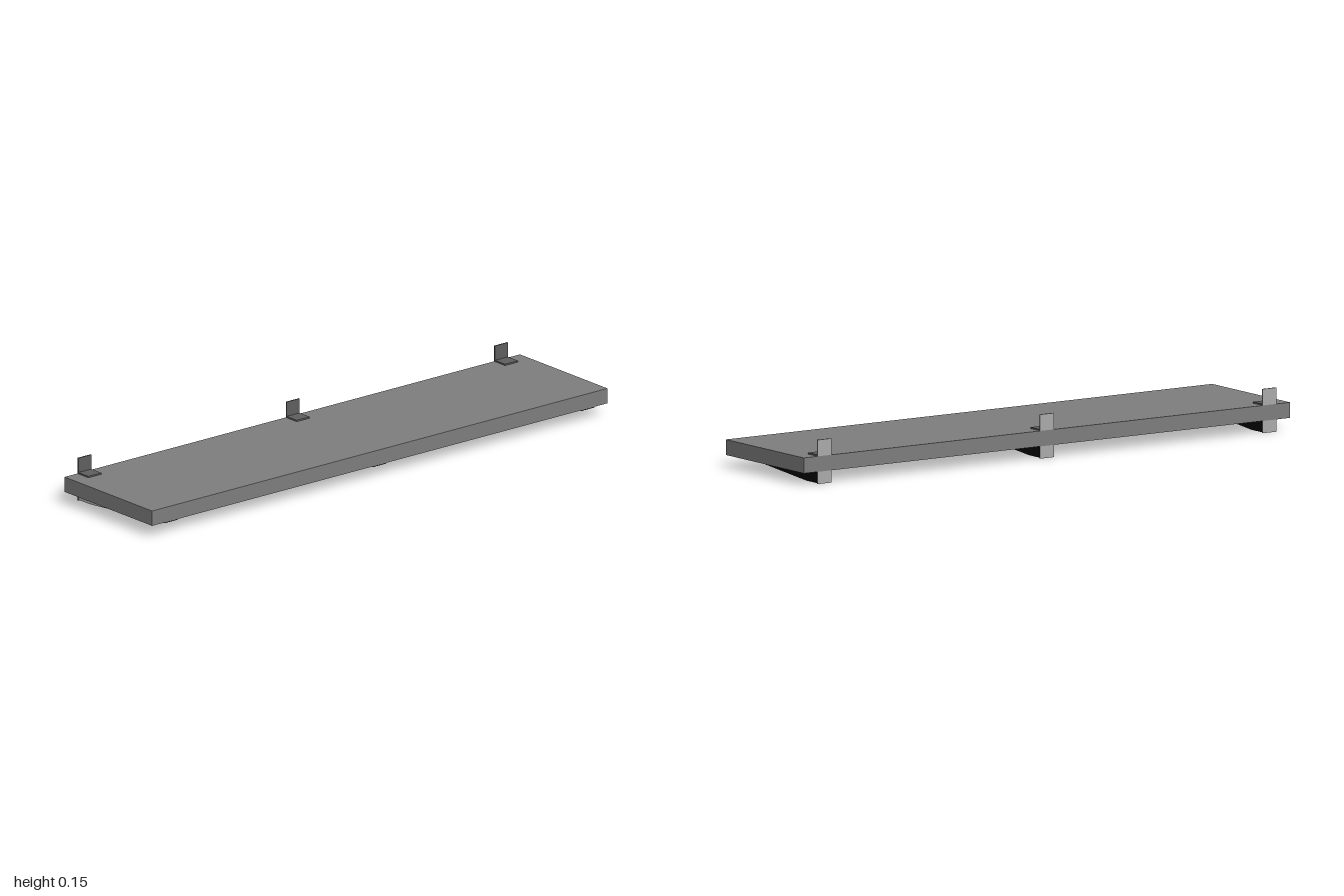
import * as THREE from 'three';

const paint = (color) => new THREE.MeshStandardMaterial({ color, flatShading: true });
const boardGrey = paint(0x7d7d7d);
const steel = paint(0x5e5e5e);
const black = paint(0x040404);
const brightSteel = paint(0xaaaaaa);

// Plate materials with a bright face toward the wall (-x)
const wallSide = (base) => [base, brightSteel, base, base, base, base];

// Box given by its x, y and z limits
function box(name, material, x0, x1, y0, y1, z0, z1) {
  const mesh = new THREE.Mesh(new THREE.BoxGeometry(x1 - x0, y1 - y0, z1 - z0), material);
  mesh.position.set((x0 + x1) / 2, (y0 + y1) / 2, (z0 + z1) / 2);
  mesh.name = name;
  return mesh;
}

// Tapered arm under the board, black with a bright front side
function supportArm(width) {
  const profile = new THREE.Shape([
    new THREE.Vector2(-0.226, 0.003),
    new THREE.Vector2(-0.165, 0.003),
    new THREE.Vector2(0.23, 0.039),
    new THREE.Vector2(0.23, 0.042),
    new THREE.Vector2(-0.226, 0.042),
  ]);
  const geometry = new THREE.ExtrudeGeometry(profile, { depth: width, bevelEnabled: false });
  geometry.translate(0, 0, -width / 2);
  // The two end caps come first: back, then front
  const capVertices = geometry.groups[0].count / 2;
  geometry.clearGroups();
  geometry.addGroup(0, capVertices, 0);
  geometry.addGroup(capVertices, capVertices, 1);
  geometry.addGroup(capVertices * 2, geometry.attributes.position.count - capVertices * 2, 0);
  const arm = new THREE.Mesh(geometry, [black, brightSteel]);
  arm.name = 'supportArm';
  return arm;
}

// Wall bracket: plates above and below the board, a tab on top and the arm
function bracket(name, z) {
  const width = 0.057, h = width / 2;
  const group = new THREE.Group();
  group.name = name;
  group.add(box('upperWallPlate', wallSide(steel), -0.231, -0.226, 0.095, 0.151, -h, h));
  group.add(box('topTab', steel, -0.226, -0.173, 0.095, 0.1, -h, h));
  group.add(box('lowerWallPlate', wallSide(black), -0.231, -0.226, 0, 0.042, -h, h));
  group.add(supportArm(width));
  group.position.z = z;
  return group;
}

export function createModel() {
  const model = new THREE.Group();
  model.name = 'wallShelf';
  model.add(box('shelfBoard', boardGrey, -0.231, 0.231, 0.042, 0.095, -1, 1));
  model.add(bracket('frontBracket', 0.915));
  model.add(bracket('middleBracket', 0));
  model.add(bracket('backBracket', -0.915));
  return model;
}
